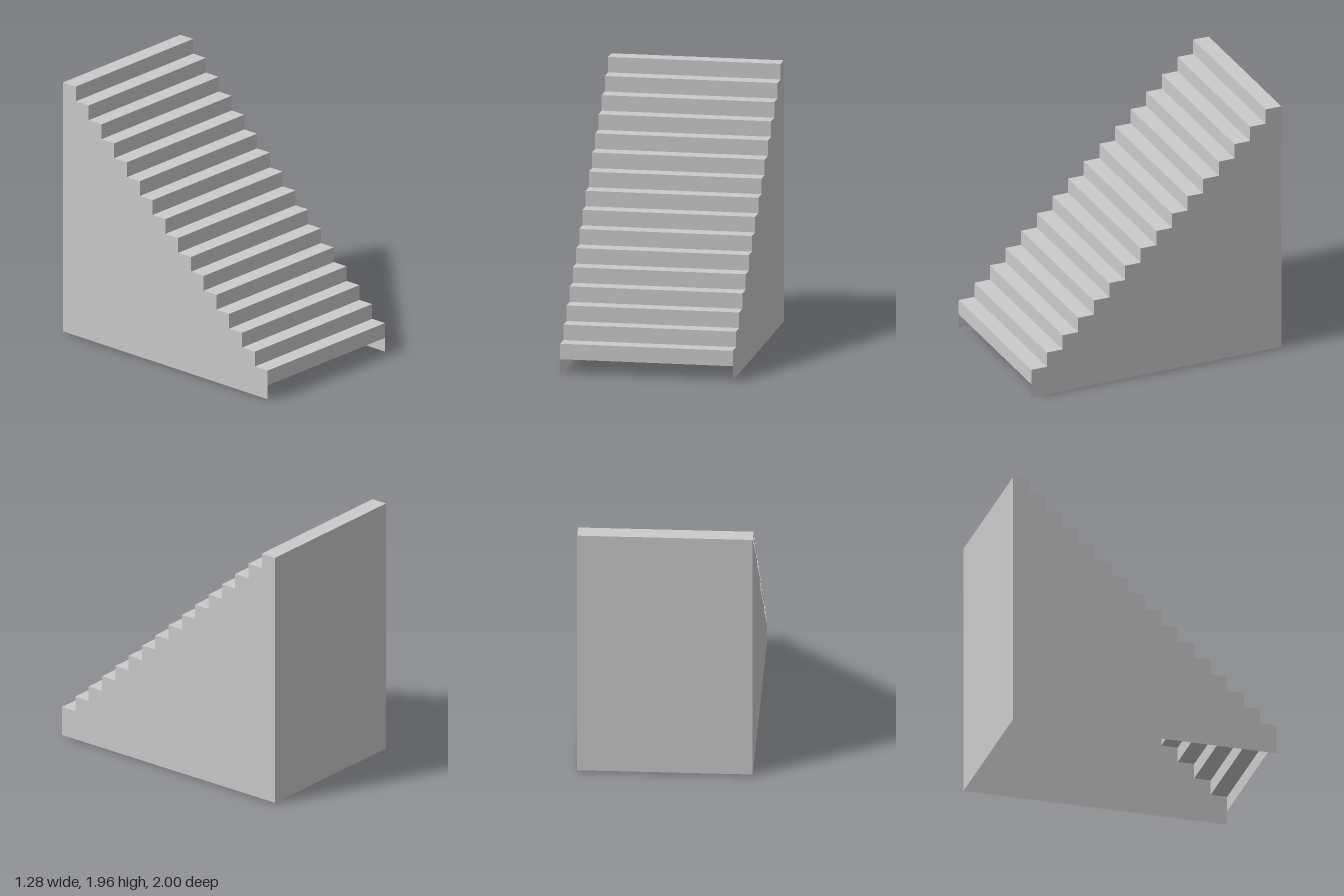
import * as THREE from 'three';

export function createModel() {
  const group = new THREE.Group();
  group.name = 'staircase';
  const material = new THREE.MeshStandardMaterial({
    color: 0xcccccc, flatShading: true, side: THREE.DoubleSide,
  });

  const steps = 16, half = 0.64, run = 2 / steps, rise = 0.1155;
  const firstBottom = 0.108, backBottom = 0.01;
  const top = firstBottom + steps * rise;

  const add = (name, geometry, x, y, z) => {
    const mesh = new THREE.Mesh(geometry, material);
    mesh.name = name;
    mesh.position.set(x, y, z);
    group.add(mesh);
  };

  // Thin risers and treads, open underneath
  const riser = new THREE.PlaneGeometry(half * 2, rise);
  const tread = new THREE.PlaneGeometry(half * 2, run).rotateX(-Math.PI / 2);
  for (let i = 0; i < steps; i++) {
    const y = firstBottom + i * rise, z = 1 - i * run;
    add(`riser${i + 1}`, riser, 0, y + rise / 2, z);
    add(`tread${i + 1}`, tread, 0, y + rise, z - run / 2);
  }

  // Stepped side walls, drawn in z and y
  const profile = new THREE.Shape();
  profile.moveTo(-1, backBottom);
  profile.lineTo(1, 0);
  for (let i = 0; i < steps; i++) {
    const y = firstBottom + (i + 1) * rise;
    profile.lineTo(1 - i * run, y);
    profile.lineTo(1 - (i + 1) * run, y);
  }
  profile.closePath();
  const side = new THREE.ShapeGeometry(profile).rotateY(-Math.PI / 2);
  add('rightWall', side, -half, 0, 0);
  const leftSide = side.clone().scale(-1, 1, 1);
  // Reverse the mirrored corners and normals so the wall faces outward
  leftSide.setIndex(Array.from(side.index.array).reverse());
  leftSide.computeVertexNormals();
  add('leftWall', leftSide, half, 0, 0);

  // Back wall
  const back = new THREE.PlaneGeometry(half * 2, top - backBottom).rotateY(Math.PI);
  add('backWall', back, 0, (top + backBottom) / 2, -1);

  return group;
}
